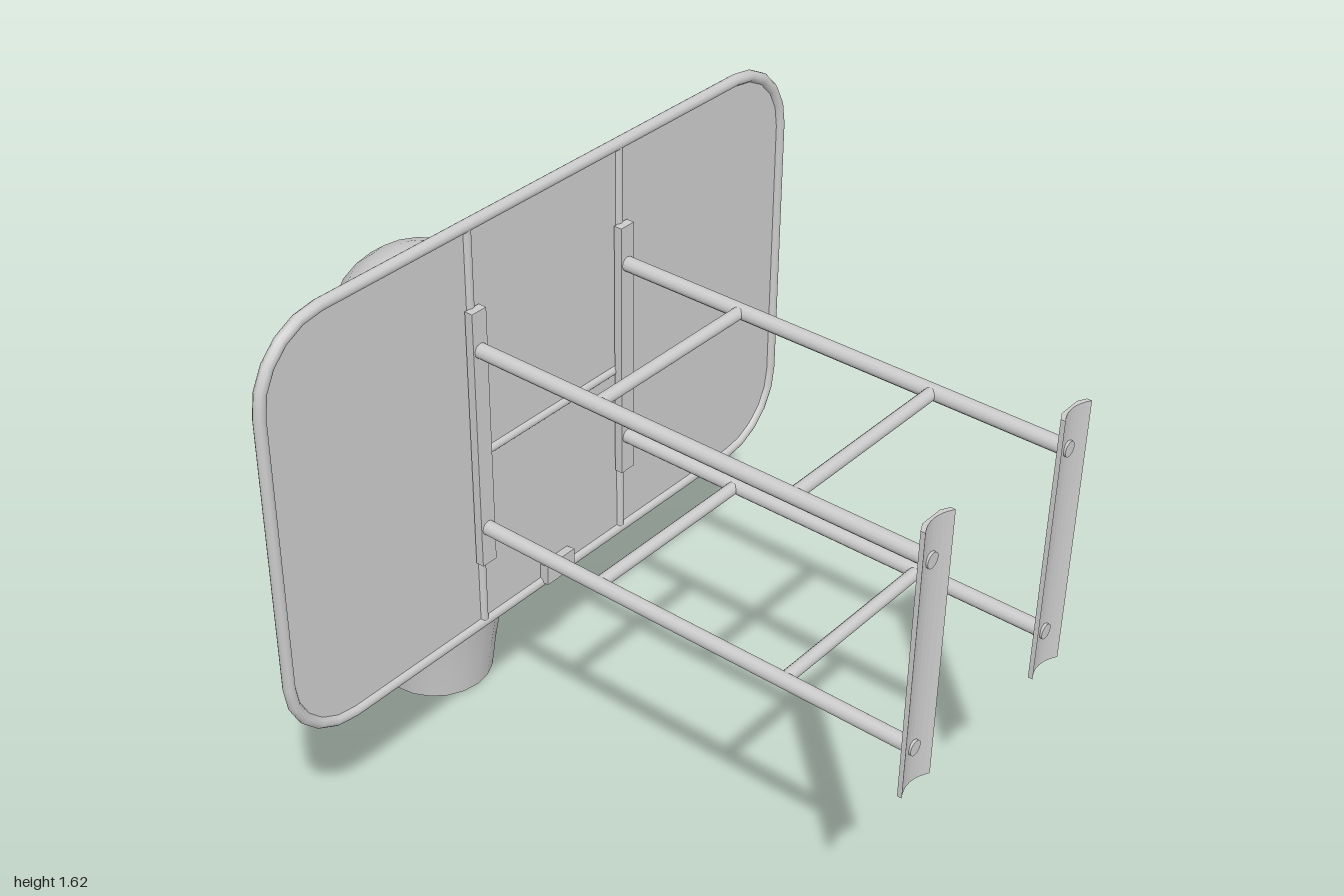
import * as THREE from 'three';

const grey = new THREE.MeshStandardMaterial({ color: 0xcccccc });
const greyOpen = new THREE.MeshStandardMaterial({ color: 0xcccccc, side: THREE.DoubleSide });

const BOARD_Z = -0.257;   // plane of the backboard
const BOARD_Y = 1.06;     // centre height of the backboard
const RAIL_X = 0.255;     // arms, uprights and plates share this offset
const HOOP_Z = -0.69;

// Closed path through corner points, sampled exactly at each point
class LoopCurve extends THREE.Curve {
  constructor(points) {
    super();
    this.points = points;
  }
  at(i) {
    const n = this.points.length;
    return this.points[((i % n) + n) % n];
  }
  getUtoTmapping(u) {
    return u;
  }
  getPoint(t, target = new THREE.Vector3()) {
    const s = t * this.points.length;
    const i = Math.floor(s + 1e-6);
    return target.lerpVectors(this.at(i), this.at(i + 1), Math.max(0, s - i));
  }
  getTangent(t, target = new THREE.Vector3()) {
    const i = Math.round(t * this.points.length);
    const before = this.at(i).clone().sub(this.at(i - 1)).normalize();
    const after = this.at(i + 1).clone().sub(this.at(i)).normalize();
    return target.copy(before).add(after).normalize();
  }
}

// Corner points of a rounded rectangle centred on the origin
function roundedRect(halfW, halfH, radius, segments) {
  const points = [];
  [[1, 1], [-1, 1], [-1, -1], [1, -1]].forEach(([sx, sy], corner) => {
    for (let i = 0; i <= segments; i++) {
      const a = (corner + i / segments) * Math.PI / 2;
      points.push(new THREE.Vector3(
        sx * (halfW - radius) + radius * Math.cos(a),
        sy * (halfH - radius) + radius * Math.sin(a), 0));
    }
  });
  return points;
}

function add(group, name, geometry, material = grey, x = 0, y = 0, z = 0) {
  const mesh = new THREE.Mesh(geometry, material);
  mesh.name = name;
  mesh.position.set(x, y, z);
  group.add(mesh);
  return mesh;
}

function rod(group, name, axis, length, radius, x, y, z) {
  const geometry = new THREE.CylinderGeometry(radius, radius, length, 12);
  if (axis === 'x') geometry.rotateZ(Math.PI / 2);
  if (axis === 'z') geometry.rotateX(Math.PI / 2);
  return add(group, name, geometry, grey, x, y, z);
}

function loopTube(group, name, points, radius, y, z) {
  const geometry = new THREE.TubeGeometry(new LoopCurve(points), points.length, radius, 10, true);
  return add(group, name, geometry, grey, 0, y, z);
}

// Backboard panel, tubular frame, target square and uprights
function makeBackboard() {
  const g = new THREE.Group();
  g.name = 'backboard';
  const outline = roundedRect(0.88, 0.545, 0.185, 5);
  const panel = new THREE.ExtrudeGeometry(
    new THREE.Shape(outline.map(p => new THREE.Vector2(p.x, p.y))),
    { depth: 0.008, bevelEnabled: false });
  add(g, 'panel', panel, grey, 0, BOARD_Y, BOARD_Z - 0.004);
  loopTube(g, 'frame', outline, 0.015, BOARD_Y, BOARD_Z);
  loopTube(g, 'targetSquare', roundedRect(RAIL_X, 0.255, 0.035, 4), 0.011, 1.057, -0.275);
  rod(g, 'crossbar', 'x', RAIL_X * 2, 0.013, 0, 1.0, BOARD_Z);
  for (const side of [-1, 1]) {
    rod(g, 'upright', 'y', 1.09, 0.013, side * RAIL_X, BOARD_Y, BOARD_Z);
    add(g, 'mountingStrip', new THREE.BoxGeometry(0.046, 0.695, 0.022), grey,
      side * RAIL_X, 1.055, -0.237);
  }
  return g;
}

// Shallow wall channel, hollow towards the wall
function makeWallPlate() {
  const s = new THREE.Shape();
  s.moveTo(-0.052, -1);
  s.lineTo(-0.052, -0.988);
  s.lineTo(-0.03, -0.977);
  s.lineTo(0.03, -0.977);
  s.lineTo(0.052, -0.988);
  s.lineTo(0.052, -1);
  s.quadraticCurveTo(0, -0.968, -0.052, -1);
  const geometry = new THREE.ExtrudeGeometry(s, { depth: 0.69, bevelEnabled: false, curveSegments: 8 });
  return geometry.rotateX(-Math.PI / 2);
}

// Four long arms, their cross ties and the wall plates
function makeSupport() {
  const g = new THREE.Group();
  g.name = 'support';
  for (const side of [-1, 1]) {
    add(g, 'wallPlate', makeWallPlate(), greyOpen, side * RAIL_X, 0.71, 0);
    for (const y of [0.81, 1.3]) rod(g, 'arm', 'z', 1.23, 0.019, side * RAIL_X, y, 0.376);
  }
  for (const y of [0.81, 1.3]) {
    for (const z of [0.115, 0.645]) rod(g, 'crossTie', 'x', RAIL_X * 2, 0.016, 0, y, z);
  }
  return g;
}

// Rim, flared net and the bracket joining them to the board
function makeHoop() {
  const g = new THREE.Group();
  g.name = 'hoop';
  const rim = new THREE.TorusGeometry(0.295, 0.015, 10, 20).rotateX(Math.PI / 2);
  add(g, 'rim', rim, grey, 0, 0.57, HOOP_Z);

  const profile = [
    [0.15, 0], [0.163, 0.1], [0.18, 0.2], [0.202, 0.3],
    [0.229, 0.4], [0.26, 0.5], [0.288, 0.57],
  ].map(([r, y]) => new THREE.Vector2(r, y));
  add(g, 'net', new THREE.LatheGeometry(profile, 20), greyOpen, 0, 0, HOOP_Z);

  const s = new THREE.Shape();
  [[0.228, 0.518], [0.27, 0.515], [0.36, 0.556], [0.4, 0.56], [0.4, 0.578],
    [0.34, 0.576], [0.27, 0.568], [0.228, 0.574]]
    .forEach(([x, y], i) => (i ? s.lineTo(x, y) : s.moveTo(x, y)));
  const bracket = new THREE.ExtrudeGeometry(s, { depth: 0.1, bevelEnabled: false });
  bracket.rotateY(Math.PI / 2);
  add(g, 'bracket', bracket, grey, -0.05, 0, 0);
  return g;
}

export function createModel() {
  const model = new THREE.Group();
  model.name = 'basketballHoop';
  model.add(makeBackboard(), makeSupport(), makeHoop());
  add(model, 'ball', new THREE.SphereGeometry(0.234, 16, 12), grey, 0, 1.053, -0.673);
  return model;
}
